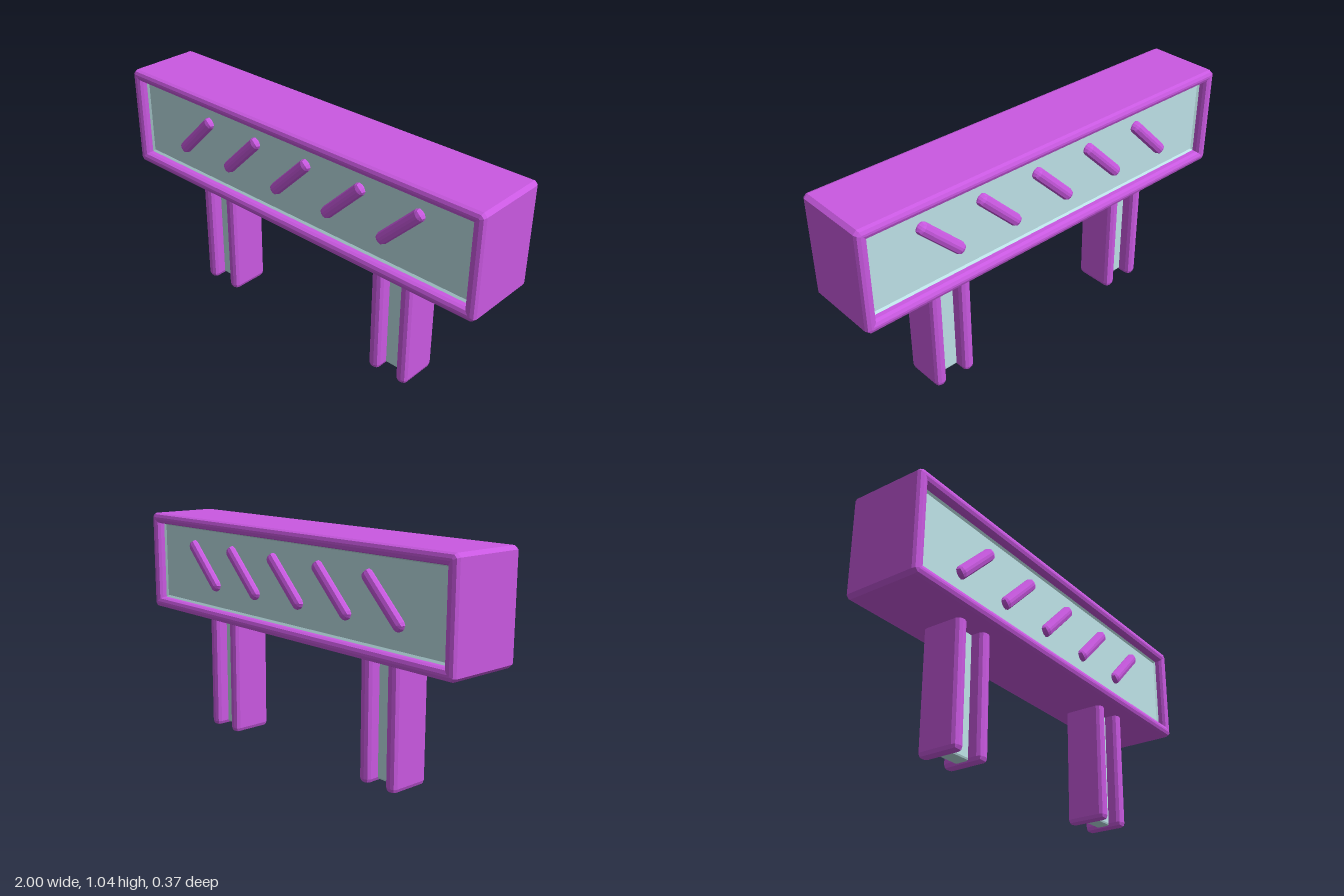
import * as THREE from 'three';
import { RoundedBoxGeometry } from 'three/addons/geometries/RoundedBoxGeometry.js';

const purple = new THREE.MeshStandardMaterial({ color: 0xca59e2 });
purple.name = 'purple';
const paleTeal = new THREE.MeshStandardMaterial({ color: 0xbee3e8 });
paleTeal.name = 'paleTeal';

// Rectangle centred on the origin, with corners cut by c when c > 0
function outline(target, w, h, c = 0) {
  const points = [];
  for (const [sx, sy] of [[-1, -1], [1, -1], [1, 1], [-1, 1]]) {
    const x = sx * w / 2, y = sy * h / 2;
    if (c === 0) {
      points.push(new THREE.Vector2(x, y));
    } else {
      const cuts = [new THREE.Vector2(x, y - sy * c), new THREE.Vector2(x - sx * c, y)];
      points.push(...(sx * sy > 0 ? cuts : cuts.reverse()));
    }
  }
  return target.setFromPoints(points);
}

// Rectangular ring, bevelled front and back, centred in z
function ring(outer, inner, depth, bevel, thickness, segments) {
  const shape = outline(new THREE.Shape(), ...outer);
  shape.holes.push(outline(new THREE.Path(), ...inner));
  const geo = new THREE.ExtrudeGeometry(shape, {
    depth: depth - 2 * thickness, bevelEnabled: true, bevelSize: bevel,
    bevelOffset: -bevel, bevelThickness: thickness, bevelSegments: segments,
  });
  return geo.translate(0, 0, -depth / 2 + thickness);
}

// Box with faceted edges
function bevelBox(w, h, d, r) {
  const geo = new RoundedBoxGeometry(w, h, d, 1, r);
  geo.computeVertexNormals();
  return geo;
}

function add(parent, name, geo, material, x, y) {
  const mesh = new THREE.Mesh(geo, material);
  mesh.name = name;
  mesh.position.set(x, y, 0);
  parent.add(mesh);
  return mesh;
}

export function createModel() {
  const model = new THREE.Group();
  model.name = 'roadBarrier';
  const boardY = 0.804;

  // Board: outer frame, sloped inner rim and recessed panel
  const board = new THREE.Group();
  board.name = 'board';
  model.add(board);
  add(board, 'frame', ring([2, 0.478, 0.016], [1.9, 0.378], 0.366, 0.02, 0.02, 2), purple, 0, boardY);
  add(board, 'panelRim', ring([1.94, 0.418], [1.872, 0.35], 0.284, 0.014, 0.01, 1), paleTeal, 0, boardY);
  add(board, 'panel', new THREE.BoxGeometry(1.9, 0.378, 0.27), paleTeal, 0, boardY);

  // Slanted bars standing out from both faces of the panel
  const barGeo = bevelBox(0.295, 0.056, 0.326, 0.022);
  for (let i = -2; i <= 2; i++) {
    const bar = add(board, 'slantedBar', barGeo, purple, i * 0.3, 0.815);
    bar.rotation.z = Math.PI / 4;
  }

  // Legs: two flanges joined by a thin web
  const flangeGeo = bevelBox(0.056, 0.59, 0.196, 0.022);
  const webGeo = bevelBox(0.14, 0.57, 0.07, 0.01);
  for (const side of [-1, 1]) {
    const leg = new THREE.Group();
    leg.name = side > 0 ? 'leftLeg' : 'rightLeg';
    leg.position.x = side * 0.532;
    model.add(leg);
    add(leg, 'legWeb', webGeo, paleTeal, 0, 0.297);
    for (const s of [-1, 1]) add(leg, 'legFlange', flangeGeo, purple, s * 0.077, 0.295);
  }
  return model;
}
